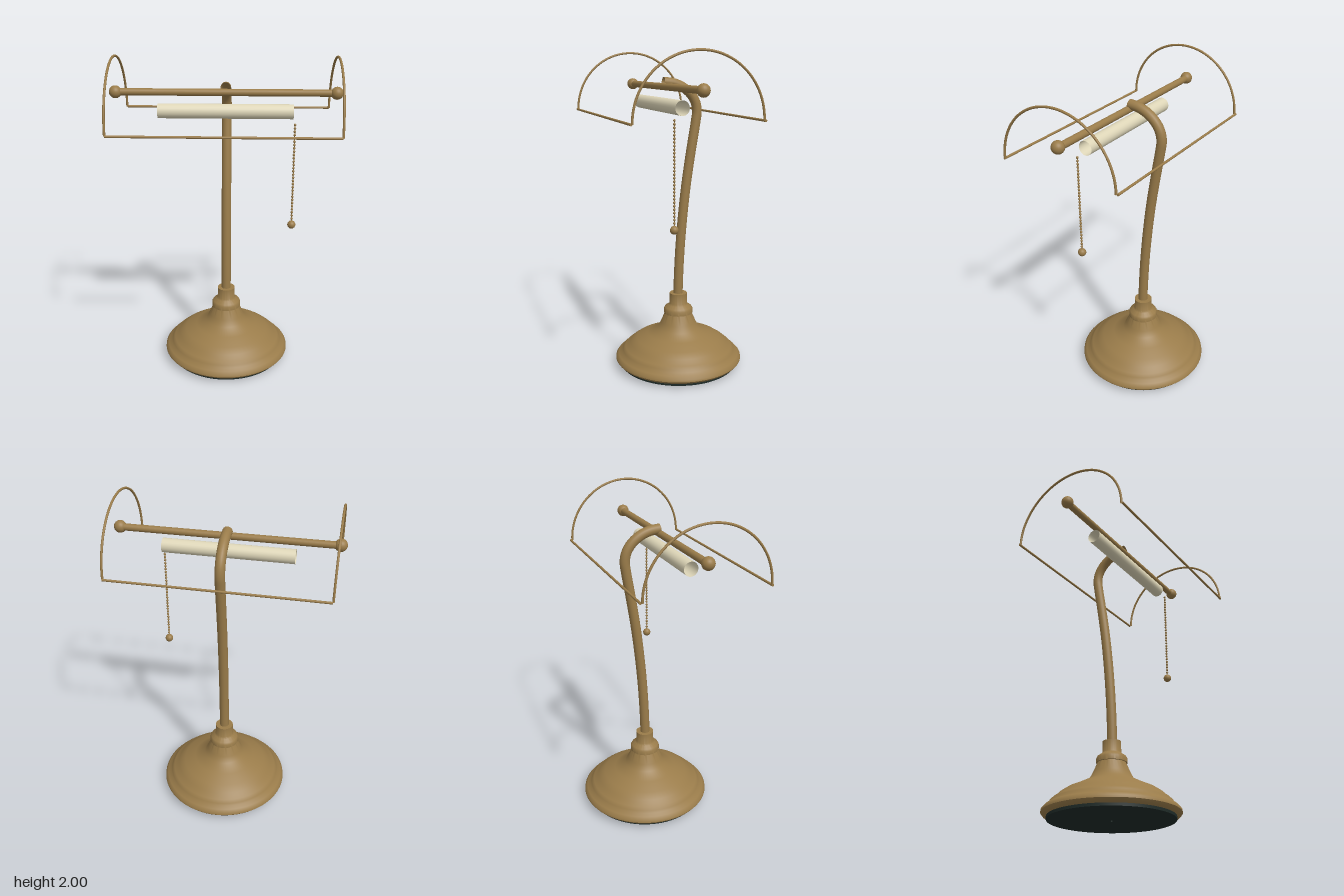
import * as THREE from 'three';
import { toCreasedNormals } from 'three/addons/utils/BufferGeometryUtils.js';

export function createModel() {
  const lamp = new THREE.Group();
  lamp.name = 'deskLamp';

  const material = (name, color, side = THREE.FrontSide) => {
    const m = new THREE.MeshStandardMaterial({ color, side });
    m.name = name;
    return m;
  };
  const brass = material('brass', 0x9a7c4a, THREE.DoubleSide);
  const cream = material('creamGlass', 0xded6b8, THREE.DoubleSide);
  const felt = material('darkFelt', 0x1f2b28);

  const add = (name, geometry, mat, x = 0, y = 0, z = 0, parent = lamp) => {
    const mesh = new THREE.Mesh(geometry, mat);
    mesh.name = name;
    mesh.position.set(x, y, z);
    parent.add(mesh);
    return mesh;
  };
  // Cylinder lying along x
  const bar = (radius, length, open = false) =>
    new THREE.CylinderGeometry(radius, radius, length, 24, 1, open).rotateZ(Math.PI / 2);

  const baseZ = -0.047;

  // Stepped, flared base
  const profile = [
    [0, 0.025], [0.375, 0.025], [0.397, 0.032], [0.408, 0.046], [0.406, 0.06],
    [0.39, 0.078], [0.368, 0.09], [0.362, 0.105], [0.345, 0.122], [0.325, 0.133],
    [0.312, 0.15], [0.27, 0.178], [0.2, 0.21], [0.133, 0.245], [0.112, 0.285],
    [0.086, 0.345], [0.093, 0.346], [0.093, 0.372], [0.086, 0.385], [0.064, 0.4],
    [0.056, 0.41], [0.056, 0.478], [0, 0.478],
  ].map(([r, y]) => new THREE.Vector2(r, y));
  add('base', toCreasedNormals(new THREE.LatheGeometry(profile, 64), 0.7), brass, 0, 0, baseZ);
  add('basePad', new THREE.CylinderGeometry(0.375, 0.375, 0.018, 64), felt, 0, 0.017, baseZ);
  add('padScrew', new THREE.CylinderGeometry(0.005, 0.005, 0.01, 12), felt, 0, 0.005, baseZ);

  // Curved stem ending in a forward hook
  const path = [
    [0.46, -0.045], [0.6, -0.049], [0.8, -0.06], [1.0, -0.077], [1.2, -0.1],
    [1.4, -0.13], [1.58, -0.16], [1.64, -0.167],
  ];
  for (let i = 1; i <= 5; i++) {
    const a = (i / 5) * Math.PI / 2;
    path.push([1.64 + 0.178 * Math.sin(a), 0.052 - 0.219 * Math.cos(a)]);
  }
  const stem = new THREE.CatmullRomCurve3(path.map(([y, z]) => new THREE.Vector3(0, y, z)));
  add('stem', new THREE.TubeGeometry(stem, 80, 0.03, 20), brass);

  // Cross rod with ball ends
  add('crossRod', bar(0.021, 1.27), brass, 0, 1.79, 0.05);
  for (const s of [-1, 1]) {
    add(s > 0 ? 'leftBall' : 'rightBall', new THREE.SphereGeometry(0.037, 24, 16), brass, s * 0.643, 1.79, 0.053);
  }

  // Open light tube
  add('lightTube', bar(0.043, 0.79, true), cream, 0, 1.685, 0.075);

  // Wire shade frame
  const frame = new THREE.Group();
  frame.name = 'shadeFrame';
  lamp.add(frame);
  const arc = new THREE.TorusGeometry(0.37, 0.007, 10, 48, Math.PI).rotateY(Math.PI / 2);
  for (const s of [-1, 1]) {
    add(s > 0 ? 'leftArc' : 'rightArc', arc, brass, s * 0.641, 1.625, 0.067, frame);
  }
  add('frontWire', bar(0.007, 1.28), brass, 0, 1.625, 0.443, frame);
  add('backWire', bar(0.007, 1.28), brass, 0, 1.625, -0.313, frame);

  // Beaded pull chain
  const chain = new THREE.Group();
  chain.name = 'pullChain';
  chain.position.set(0.403, 0, 0.126);
  lamp.add(chain);
  const bead = new THREE.SphereGeometry(0.0075, 10, 8);
  for (let i = 0; i < 31; i++) add('chainBead', bead, brass, 0, 1.02 + i * 0.02, 0, chain);
  add('chainCord', new THREE.CylinderGeometry(0.003, 0.003, 0.61, 8), brass, 0, 1.315, 0, chain);
  add('pullKnob', new THREE.SphereGeometry(0.025, 20, 14), brass, 0, 1.0, 0, chain);

  return lamp;
}
